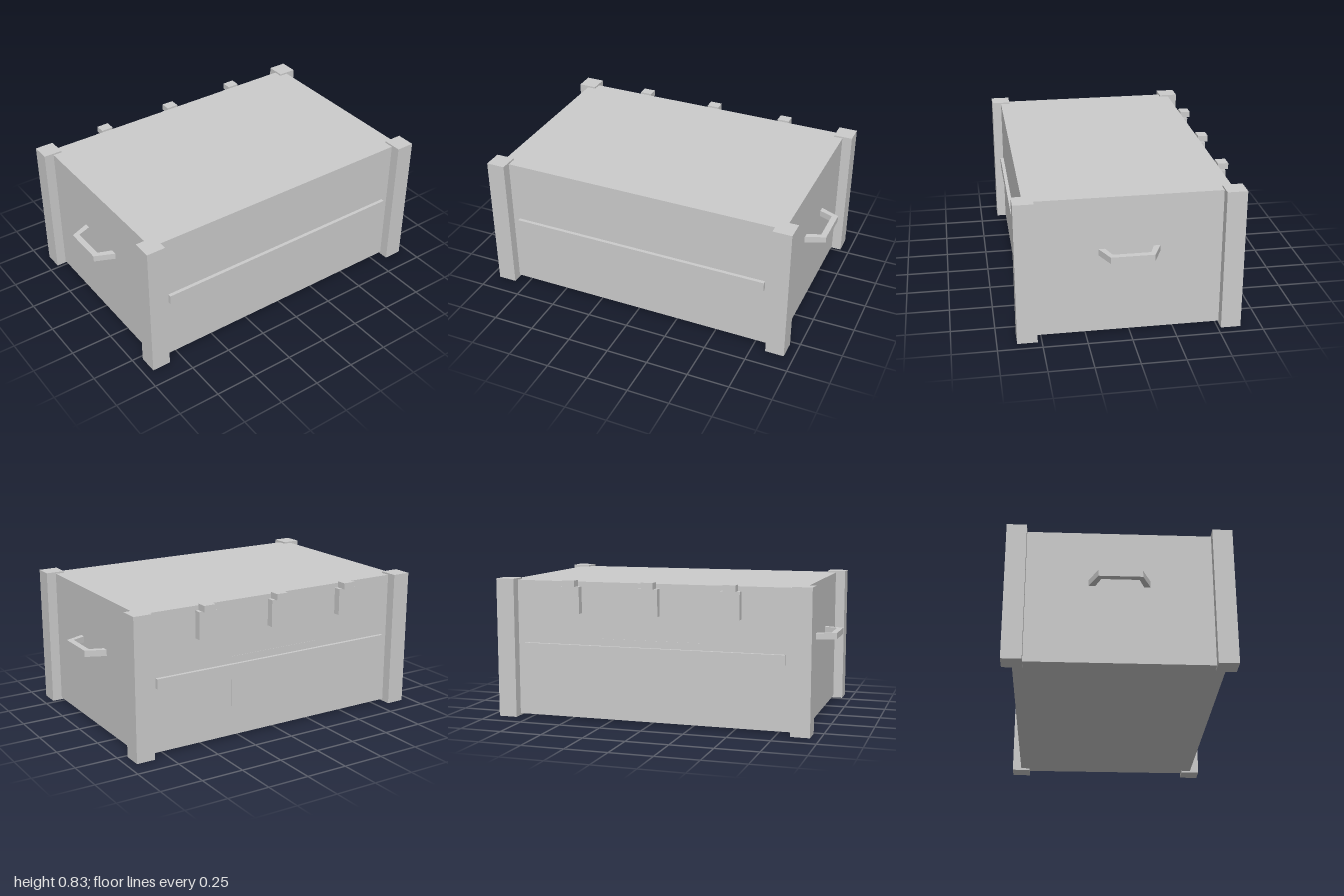
import * as THREE from 'three';

export function createModel() {
  const crate = new THREE.Group();
  crate.name = 'crate';
  const material = new THREE.MeshStandardMaterial({ color: 0xcccccc, flatShading: true });

  // Box given by its lower and upper limits on each axis
  function box(name, [x0, x1], [y0, y1], [z0, z1]) {
    const mesh = new THREE.Mesh(new THREE.BoxGeometry(x1 - x0, y1 - y0, z1 - z0), material);
    mesh.position.set((x0 + x1) / 2, (y0 + y1) / 2, (z0 + z1) / 2);
    mesh.name = name;
    crate.add(mesh);
  }

  const zc = 0.003; // the box sits slightly forward to balance the hinges

  box('body', [-0.885, 0.885], [0.012, 0.82], [zc - 0.578, zc + 0.578]);

  // Corner posts
  for (const sx of [-1, 1]) {
    for (const sz of [-1, 1]) {
      const x = sx * 0.888, z = zc + sz * 0.578;
      box('cornerPost', [x - 0.056, x + 0.056], [0, 0.83], [z - 0.057, z + 0.057]);
    }
  }

  // Long rails on front and back
  box('frontRail', [-0.79, 0.79], [0.39, 0.448], [0.56, zc + 0.599]);
  box('backRail', [-0.79, 0.79], [0.39, 0.448], [zc - 0.599, -0.56]);

  // Almost flush panel on the back
  box('backPanel', [-0.3, 0.3], [0.19, 0.49], [zc - 0.58, -0.56]);

  // Hinges: a plate with a small block on top
  for (const x of [-0.48, 0, 0.48]) {
    box('hingePlate', [x - 0.057, x + 0.057], [0.635, 0.793], [-0.618, -0.56]);
    box('hingeBlock', [x - 0.037, x + 0.037], [0.793, 0.83], [-0.638, -0.577]);
  }

  // Bent side handles, drawn in plan and extruded upward
  const outline = [
    [0.88, 0.174], [1, 0.122], [1, -0.122], [0.88, -0.174],
    [0.88, -0.137], [0.965, -0.105], [0.965, 0.105], [0.88, 0.137],
  ].map(([x, z]) => new THREE.Vector2(x, z));
  const handleGeometry = new THREE.ExtrudeGeometry(new THREE.Shape(outline), { depth: 0.037, bevelEnabled: false });
  handleGeometry.rotateX(-Math.PI / 2);
  for (const side of [1, -1]) {
    const handle = new THREE.Mesh(handleGeometry, material);
    handle.name = side > 0 ? 'leftHandle' : 'rightHandle';
    handle.rotation.y = side > 0 ? 0 : Math.PI;
    handle.position.set(0, 0.48, zc);
    crate.add(handle);
  }

  return crate;
}
